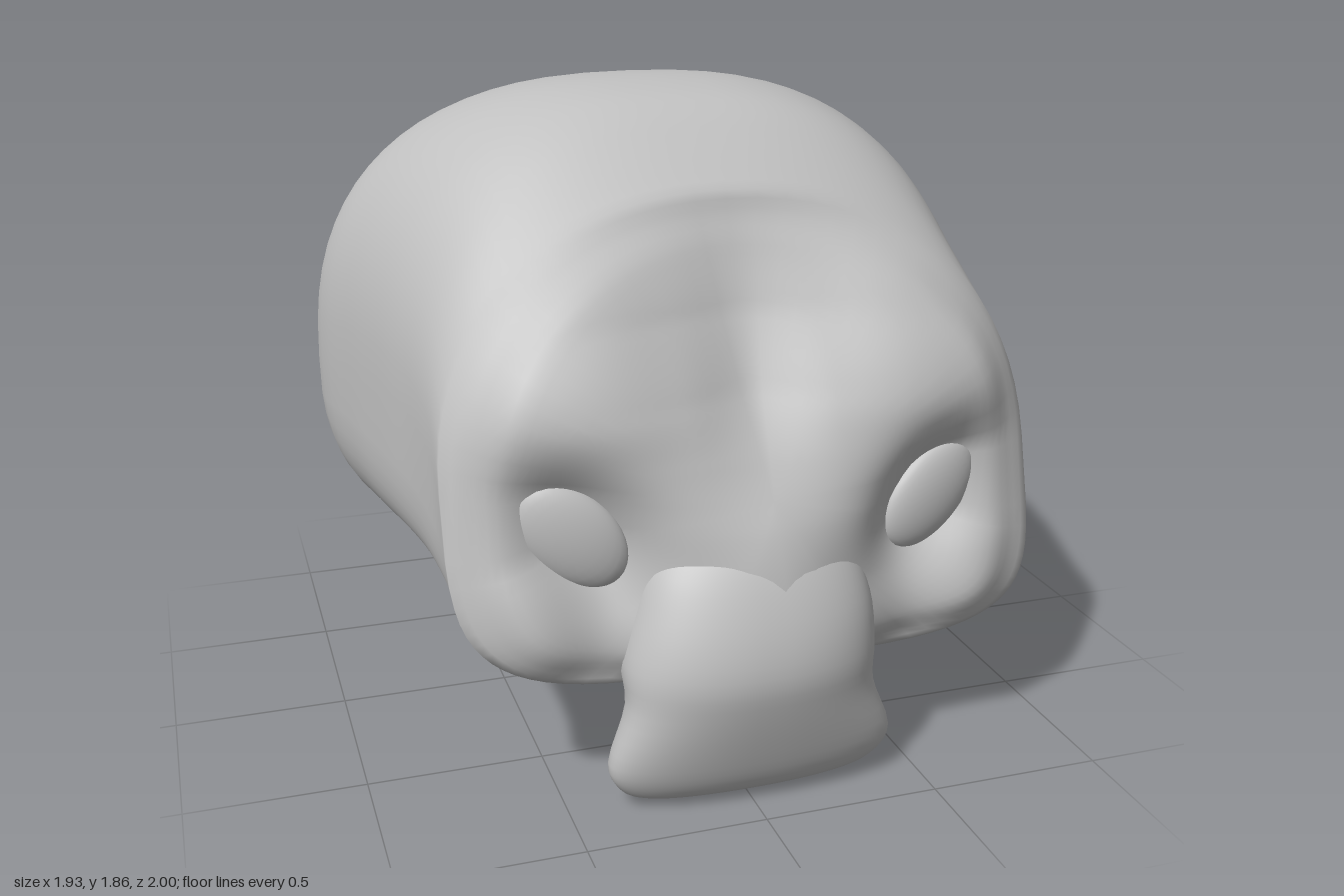
import * as THREE from 'three';

const SEG = 72;

// Catmull-Rom value between the entries of a list of numbers
function spline(list, t) {
  const last = list.length - 1;
  t = Math.min(Math.max(t, 0), last);
  const i = Math.min(Math.floor(t), last - 1), f = t - i;
  const p0 = list[Math.max(i - 1, 0)], p1 = list[i], p2 = list[i + 1], p3 = list[Math.min(i + 2, last)];
  return p1 + 0.5 * f * (p2 - p0 + f * (2 * p0 - 5 * p1 + 4 * p2 - p3 + f * (3 * (p1 - p2) + p3 - p0)));
}

// Refine a list of section rows by splining every column
function refine(rows, steps) {
  const out = [];
  const count = (rows.length - 1) * steps;
  for (let k = 0; k <= count; k++) {
    out.push(rows[0].map((_, c) => spline(rows.map(r => r[c]), k / steps)));
  }
  return out;
}

// Point on a superellipse of exponent n
function squircle(angle, n) {
  const c = Math.cos(angle), s = Math.sin(angle);
  return [Math.sign(c) * Math.abs(c) ** (2 / n), Math.sign(s) * Math.abs(s) ** (2 / n)];
}

// Closed smooth skin over rings of points
function loft(rings) {
  const pos = [], index = [];
  rings.forEach(r => r.forEach(p => pos.push(...p)));
  for (let i = 0; i < rings.length - 1; i++) {
    for (let j = 0; j < SEG; j++) {
      const k = (j + 1) % SEG;
      const a = i * SEG + j, b = i * SEG + k;
      index.push(a, b, a + SEG, b, b + SEG, a + SEG);
    }
  }
  [0, rings.length - 1].forEach((r, end) => {
    const mid = [0, 1, 2].map(c => rings[r].reduce((s, p) => s + p[c], 0) / SEG);
    const m = pos.length / 3;
    pos.push(...mid);
    for (let j = 0; j < SEG; j++) {
      const a = r * SEG + j, b = r * SEG + (j + 1) % SEG;
      if (end) index.push(m, a, b); else index.push(m, b, a);
    }
  });
  const g = new THREE.BufferGeometry();
  g.setAttribute('position', new THREE.Float32BufferAttribute(pos, 3));
  g.setIndex(index);
  g.computeVertexNormals();
  return g;
}

// Depth of the face: rows go down in y, columns go outward from the middle
const FACE_X = 0.065;
const EYE = { x: 0.52, y: 0.765, tilt: 0.75 };
const ROW_Y = [1.6, 1.3, 1.1, 0.95, 0.78, 0.6, 0.45, 0.3];
const DEPTH = [
  [0.44, 0.45, 0.45, 0.44, 0.41],
  [0.54, 0.60, 0.65, 0.62, 0.55],
  [0.65, 0.73, 0.77, 0.74, 0.64],
  [0.77, 0.80, 0.80, 0.77, 0.67],
  [0.88, 0.85, 0.80, 0.77, 0.69],
  [0.94, 0.87, 0.79, 0.80, 0.72],
  [0.97, 0.89, 0.79, 0.81, 0.73],
  [0.90, 0.82, 0.75, 0.77, 0.71],
];
function faceDepth(x, y) {
  const side = Math.abs(x - FACE_X);
  let r = 0;
  while (r < ROW_Y.length - 2 && y < ROW_Y[r + 1]) r++;
  const t = r + (ROW_Y[r] - y) / (ROW_Y[r] - ROW_Y[r + 1]);
  const base = spline(DEPTH.map(row => spline(row, side / 0.86 * 4)), t);
  // Slanted eye socket
  const dx = side - EYE.x, dy = y - EYE.y - 0.02;
  const c = Math.cos(EYE.tilt), s = Math.sin(EYE.tilt);
  const p = (dx * c + dy * s) / 0.22, q = (dy * c - dx * s) / 0.15;
  return base - 0.13 * Math.exp(-p * p - q * q);
}

function skullGeometry() {
  // z at y = 1, left x, right x, bottom y, top y, forward lean, upper and lower squareness
  const rows = refine([
    [-1.00, -0.22, 0.10, 0.99, 1.21, 0, 2.0, 2.0],
    [-0.99, -0.42, 0.24, 0.88, 1.32, 0, 2.1, 2.1],
    [-0.955, -0.58, 0.44, 0.71, 1.45, 0, 2.2, 2.2],
    [-0.87, -0.75, 0.66, 0.51, 1.60, 0, 2.3, 2.4],
    [-0.70, -0.89, 0.86, 0.38, 1.72, 0, 2.4, 2.6],
    [-0.43, -0.97, 0.96, 0.37, 1.83, 0, 2.5, 2.9],
    [-0.15, -0.92, 0.94, 0.43, 1.865, 0, 2.5, 3.8],
    [0.08, -0.86, 0.91, 0.46, 1.84, 0, 2.5, 4.6],
    [0.28, -0.81, 0.89, 0.45, 1.79, -0.10, 2.5, 4.8],
    [0.47, -0.785, 0.885, 0.40, 1.72, -0.24, 2.4, 4.6],
    [0.59, -0.785, 0.92, 0.345, 1.61, -0.27, 2.2, 4.2],
  ], 4);
  const rings = rows.map(([z, xl, xr, yb, yt, lean, upper, lower]) => {
    const cx = (xl + xr) / 2, cy = yb + (yt - yb) * 0.42;
    return Array.from({ length: SEG }, (_, j) => {
      const a = j / SEG * Math.PI * 2;
      const right = 0.6 * Math.max(Math.cos(a), 0);
      const [c, s] = squircle(a, Math.sin(a) < 0 ? lower + right : upper);
      const y = cy + s * (s > 0 ? yt - cy : cy - yb);
      return [cx + c * (xr - xl) / 2, y, z + lean * (y - 1)];
    });
  });
  // Face closes the front, shrinking from the rim to its middle
  const rim = rings[rings.length - 1];
  const N = 32;
  for (let k = 1; k < N; k++) {
    const s = 1 - k / N;
    const t = THREE.MathUtils.smoothstep(1 - s, -0.08, 0.18);
    rings.push(rim.map(([rx, ry, rz]) => {
      const x = FACE_X + (rx - FACE_X) * s, y = 0.85 + (ry - 0.85) * s;
      return [x, y, rz + (faceDepth(x, y) - rz) * t];
    }));
  }
  return loft(rings);
}

function muzzleGeometry() {
  // y, back z, front z, left x, right x
  const rows = refine([
    [0.005, 0.79, 0.83, -0.20, 0.14],
    [0.025, 0.755, 0.87, -0.30, 0.30],
    [0.06, 0.73, 0.905, -0.36, 0.39],
    [0.14, 0.70, 0.94, -0.39, 0.43],
    [0.30, 0.66, 0.985, -0.34, 0.37],
    [0.42, 0.57, 1.00, -0.34, 0.38],
    [0.56, 0.56, 0.965, -0.30, 0.37],
    [0.70, 0.56, 0.89, -0.24, 0.32],
    [0.80, 0.58, 0.78, -0.12, 0.22],
  ], 4);
  return loft(rows.map(([y, zb, zf, xl, xr]) => Array.from({ length: SEG }, (_, j) => {
    const [c, s] = squircle(j / SEG * Math.PI * 2, 2.2);
    return [(xl + xr) / 2 + c * (xr - xl) / 2, y, (zb + zf) / 2 - s * (zf - zb) / 2];
  })));
}

export function createModel() {
  const model = new THREE.Group();
  model.name = 'head';
  const clay = new THREE.MeshStandardMaterial({ color: 0xc0c0c0 });
  clay.name = 'grey clay';

  const add = (name, geometry) => {
    const mesh = new THREE.Mesh(geometry, clay);
    mesh.name = name;
    model.add(mesh);
    return mesh;
  };

  add('skull', skullGeometry());
  add('muzzle', muzzleGeometry());

  // Slanted eyes set in the sockets
  for (const side of [-1, 1]) {
    const eye = add(side > 0 ? 'leftEye' : 'rightEye', new THREE.SphereGeometry(1, 28, 18));
    eye.scale.set(0.18, 0.12, 0.05);
    eye.position.set(FACE_X + side * EYE.x, EYE.y, 0.70);
    eye.rotation.set(0, side * 0.2, side * EYE.tilt);
  }
  return model;
}
